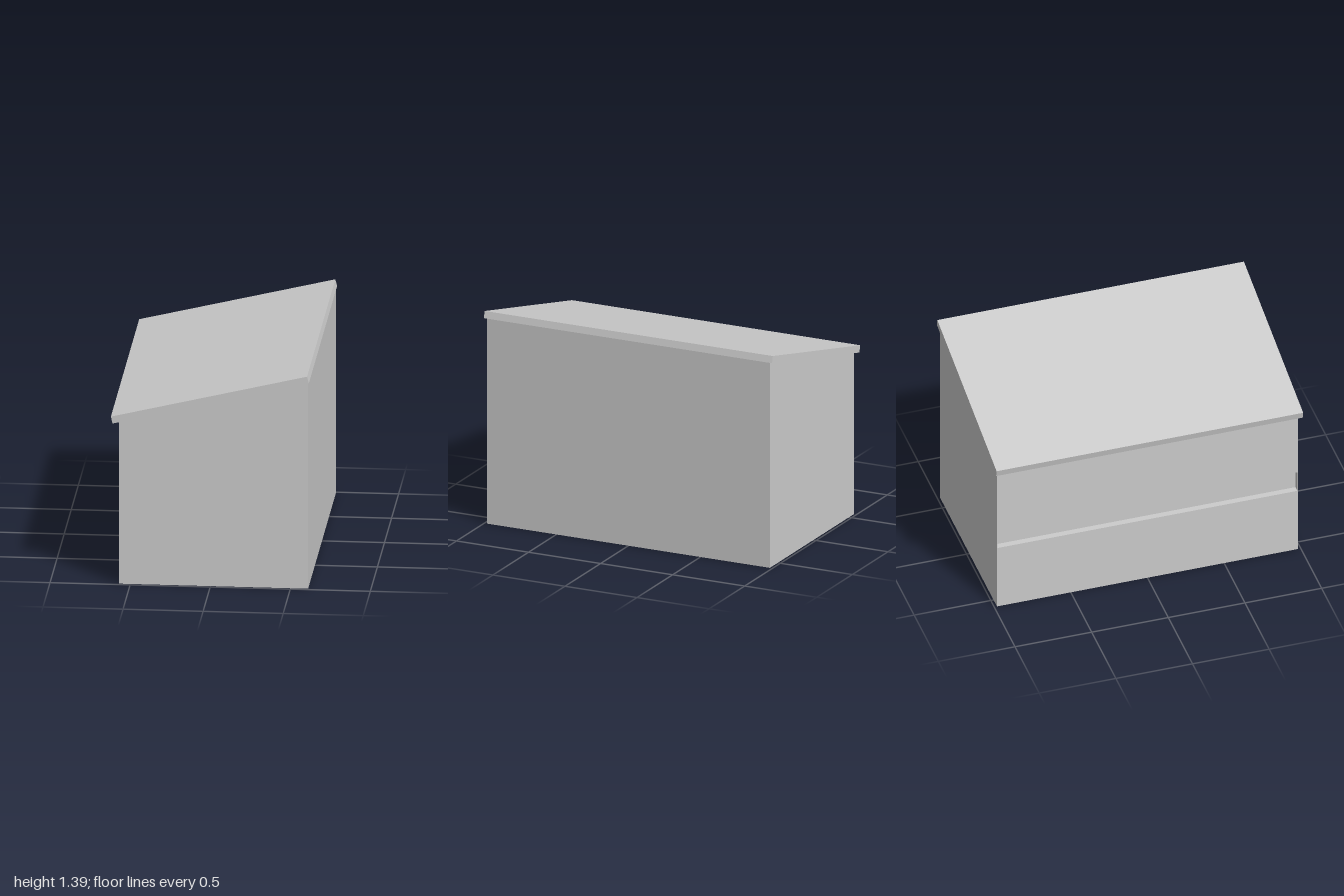
import * as THREE from 'three';

const LEFT = -0.57, RIGHT = 0.61;      // side walls
const LOW = 1.06, HIGH = 1.344;        // wall heights under the sloping roof
const HALF = 0.982, CAP = 0.004;       // half length and end panel thickness

export function createModel() {
  const group = new THREE.Group();
  const material = new THREE.MeshStandardMaterial({ color: 0xcccccc, flatShading: true });

  // Extrudes an outline of [x, y] points between two z positions
  const addPrism = (name, points, z0, z1) => {
    const shape = new THREE.Shape(points.map(([x, y]) => new THREE.Vector2(x, y)));
    const geometry = new THREE.ExtrudeGeometry(shape, { depth: z1 - z0, bevelEnabled: false });
    geometry.translate(0, 0, z0);
    const mesh = new THREE.Mesh(geometry, material);
    mesh.name = name;
    group.add(mesh);
  };

  const walls = [[LEFT, 0], [RIGHT, 0], [RIGHT, HIGH], [LEFT, LOW]];

  // Body with a long shallow recess along its low side
  const recess = [[LEFT, 0.6], [LEFT + 0.04, 0.6], [LEFT + 0.04, 0.455], [LEFT, 0.455]];
  addPrism('body', [...walls, ...recess], -HALF + CAP, HALF - CAP);

  // Thin end panels closing the recess
  addPrism('frontPanel', walls, HALF - CAP, HALF);
  addPrism('backPanel', walls, -HALF, -HALF + CAP);

  // Sloping roof slab, overhanging the low side and both ends
  addPrism('roof', [[-0.61, 1.05], [0.616, 1.346], [0.605, 1.39], [-0.62, 1.095]], -1, 1);

  return group;
}
